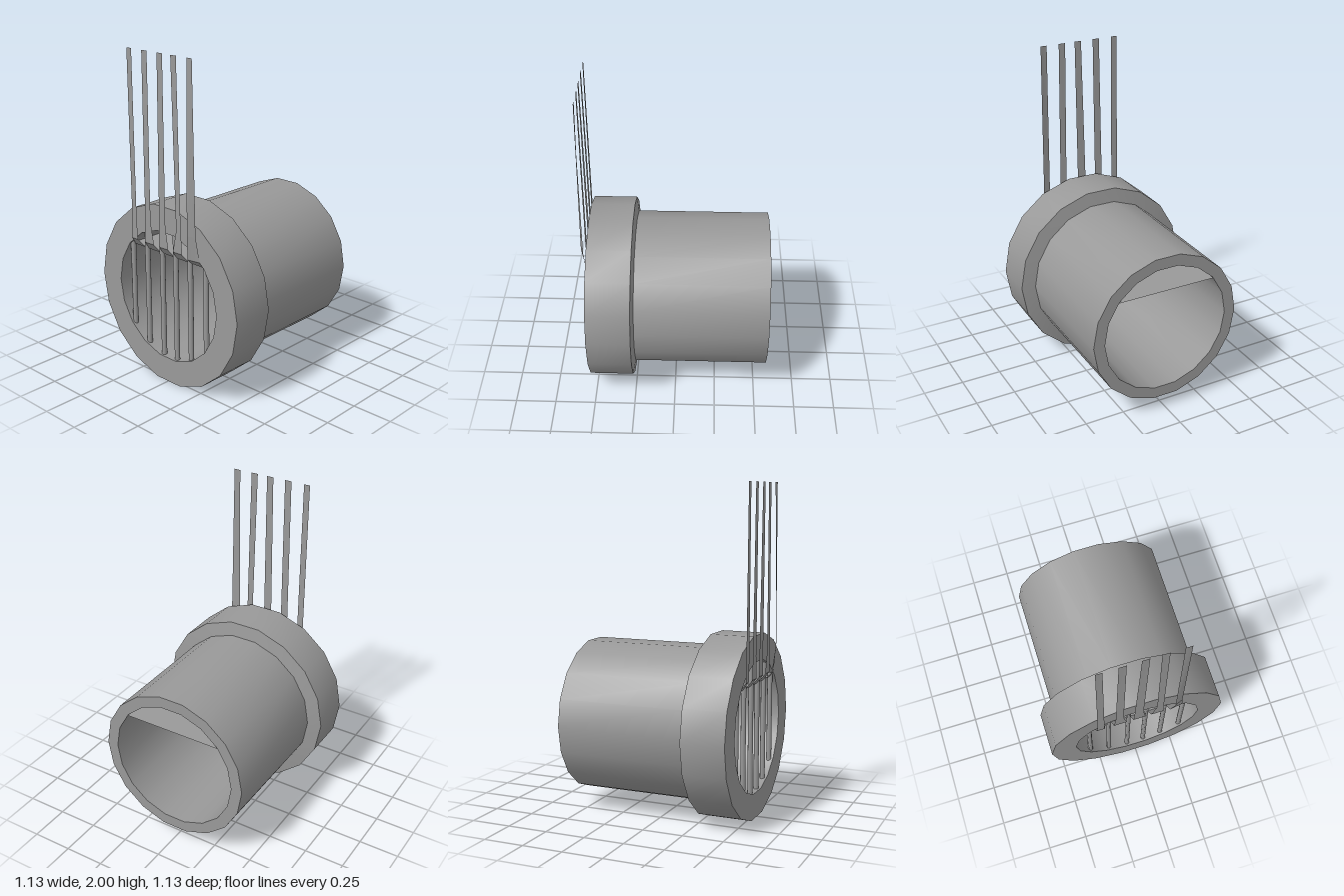
import * as THREE from 'three';
import { toCreasedNormals } from 'three/addons/utils/BufferGeometryUtils.js';

const CY = 0.556; // height of the pipe axis
const INNER = 0.405; // bore radius
const BACK = -0.567; // rear end of the pipe
const LEVEL = 0.81; // height of the liquid surface
const GRATE_Z = 0.5;

const grey = new THREE.MeshStandardMaterial({ color: 0x999999 });
const greySheet = new THREE.MeshStandardMaterial({ color: 0x999999, side: THREE.DoubleSide });

function add(parent, name, geometry, material = grey) {
  const mesh = new THREE.Mesh(geometry, material);
  mesh.name = name;
  parent.add(mesh);
  return mesh;
}

// Sheet lofted through rows of [xLeft, xRight, y, zLeft, zRight]
function sheet(rows) {
  const position = [], index = [];
  rows.forEach(([x0, x1, y, z0, z1], i) => {
    position.push(x0, y, z0, x1, y, z1);
    if (i) {
      const a = 2 * (i - 1);
      index.push(a, a + 1, a + 3, a, a + 3, a + 2);
    }
  });
  const g = new THREE.BufferGeometry();
  g.setAttribute('position', new THREE.Float32BufferAttribute(position, 3));
  g.setIndex(index);
  return toCreasedNormals(g, 0.4);
}

export function createModel() {
  const model = new THREE.Group();
  model.name = 'gratedPipe';

  // Hollow pipe with a collar at its front end
  const profile = [
    [INNER, BACK], [0.477, BACK], [0.477, 0.246], [0.564, 0.26],
    [0.564, 0.527], [INNER, 0.527], [INNER, BACK],
  ].map(([r, z]) => new THREE.Vector2(r, z));
  const pipe = new THREE.LatheGeometry(profile, 18, Math.PI / 2);
  pipe.rotateX(Math.PI / 2);
  add(model, 'pipe', toCreasedNormals(pipe, 0.5)).position.y = CY;

  // Vertical grate bars, each ending just inside the pipe wall
  const grate = new THREE.Group();
  grate.name = 'grate';
  model.add(grate);
  for (const x of [-0.309, -0.183, -0.056, 0.056, 0.175, 0.3]) {
    const half = Math.sqrt(INNER * INNER - x * x) + 0.01;
    const bar = add(grate, 'grateBar', new THREE.CylinderGeometry(0.016, 0.016, 2 * half, 8));
    bar.position.set(x, CY, GRATE_Z);
  }

  // Level surface inside the pipe
  const halfWidth = Math.sqrt(INNER * INNER - (LEVEL - CY) ** 2);
  const surface = new THREE.PlaneGeometry(2 * halfWidth, GRATE_Z - BACK);
  surface.rotateX(-Math.PI / 2);
  add(model, 'liquidSurface', surface, greySheet)
    .position.set(0, LEVEL, (GRATE_Z + BACK) / 2);

  // Streams: x edges at the grate gap, the lip, the neck and the top
  const streams = new THREE.Group();
  streams.name = 'streams';
  model.add(streams);
  const edges = [
    [-0.29, -0.2, -0.267, -0.22, -0.263, -0.222, -0.263, -0.224],
    [-0.168, -0.068, -0.16, -0.08, -0.15, -0.102, -0.14, -0.097],
    [-0.047, 0.053, -0.036, 0.04, -0.032, 0.022, -0.017, 0.026],
    [0.063, 0.168, 0.078, 0.154, 0.108, 0.148, 0.09, 0.133],
    [0.188, 0.293, 0.197, 0.28, 0.216, 0.265, 0.213, 0.253],
  ];
  edges.forEach((e, i) => {
    // The last stream starts lower and turns slightly
    const [lipY, lipZ, neckZ] = i === 4 ? [0.848, 0.53, 0.565] : [0.865, 0.543, 0.543];
    add(streams, 'stream', sheet([
      [e[0], e[1], LEVEL, GRATE_Z, GRATE_Z],
      [e[2], e[3], lipY, 0.543, lipZ],
      [e[4], e[5], 1.0, neckZ, 0.546],
      [e[6], e[7], 2.0, 0.547, 0.547],
    ]), greySheet);
  });

  return model;
}
